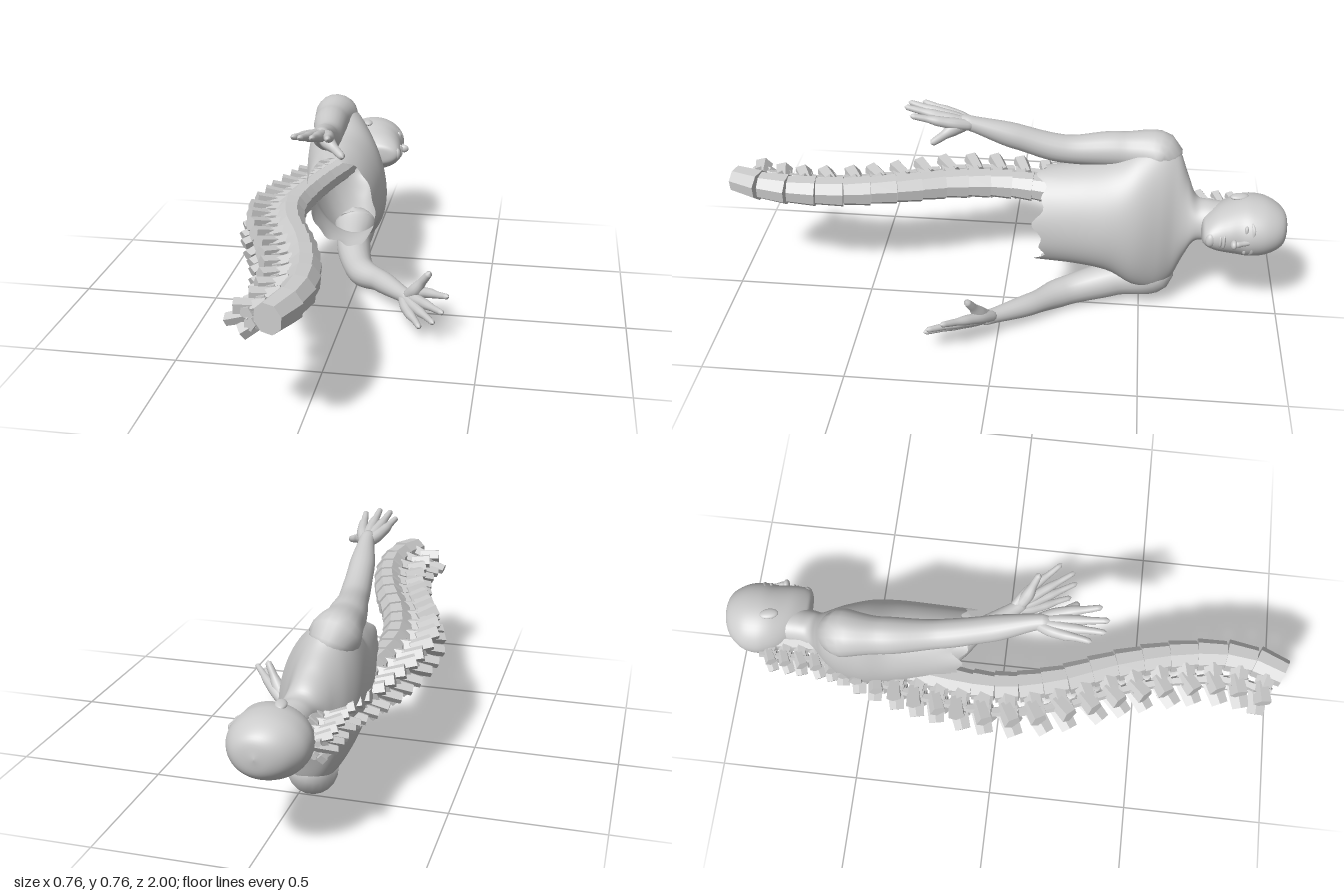
import * as THREE from 'three';
import { mergeVertices, mergeGeometries } from 'three/addons/utils/BufferGeometryUtils.js';

const skin = new THREE.MeshStandardMaterial({ color: 0xcccccc, side: THREE.DoubleSide });
const bone = new THREE.MeshStandardMaterial({ color: 0xcccccc, flatShading: true });
const V = (a) => new THREE.Vector3(a[0], a[1], a[2]);

function mesh(name, geometry, material = skin) {
  const m = new THREE.Mesh(geometry, material);
  m.name = name;
  return m;
}

function smooth(geometry) {
  geometry.deleteAttribute('normal');
  geometry.deleteAttribute('uv');
  const g = mergeVertices(geometry, 1e-5);
  g.computeVertexNormals();
  return g;
}

// Smooth skin through oval sections [z, cx, cy, rx, ry], lengthwise along z
function loft(rows, bend = () => {}, steps = 48, sides = 48) {
  const centres = new THREE.CatmullRomCurve3(rows.map((r) => new THREE.Vector3(r[1], r[2], r[0])));
  const radii = new THREE.CatmullRomCurve3(rows.map((r) => new THREE.Vector3(r[3], r[4], 0)));
  centres.curveType = radii.curveType = 'catmullrom';
  const pos = [], index = [];
  for (let i = 0; i <= steps; i++) {
    const c = centres.getPoint(i / steps), r = radii.getPoint(i / steps);
    for (let j = 0; j < sides; j++) {
      const a = (j / sides) * Math.PI * 2;
      const p = new THREE.Vector3(c.x + r.x * Math.cos(a), c.y + r.y * Math.sin(a), c.z);
      bend(p, a, i / steps, c);
      pos.push(p.x, p.y, p.z);
      if (i === steps) continue;
      const k = i * sides + j, l = i * sides + ((j + 1) % sides);
      index.push(k, l, k + sides, l, l + sides, k + sides);
    }
  }
  const g = new THREE.BufferGeometry();
  g.setAttribute('position', new THREE.Float32BufferAttribute(pos, 3));
  g.setIndex(index);
  g.computeVertexNormals();
  return g;
}

// Tube of changing radius through points [x, y, z, radius], with round ends
function limb(pts, steps = 48, sides = 20) {
  const curve = new THREE.CatmullRomCurve3(pts.map(V));
  const g = new THREE.TubeGeometry(curve, steps, 1, sides);
  const p = g.attributes.position, v = new THREE.Vector3(), len = curve.getLength();
  for (let i = 0; i <= steps; i++) {
    const u = i / steps, c = curve.getPointAt(u);
    const t = curve.getUtoTmapping(u) * (pts.length - 1);
    const k = Math.min(Math.floor(t), pts.length - 2);
    let r = THREE.MathUtils.lerp(pts[k][3], pts[k + 1][3], THREE.MathUtils.smoothstep(t - k, 0, 1));
    const d = Math.min(u, 1 - u) * len;
    if (d < r) r = Math.sqrt(Math.max(r * r - (r - d) ** 2, 1e-8));
    for (let j = 0; j <= sides; j++) {
      const n = i * (sides + 1) + j;
      v.fromBufferAttribute(p, n).sub(c).multiplyScalar(r).add(c);
      p.setXYZ(n, v.x, v.y, v.z);
    }
  }
  return smooth(g);
}

// Four fingers running back side by side through the palm, plus a thumb
function hand(name, wrist, tips, thumb) {
  const w = V(wrist), mean = new THREE.Vector3();
  tips.forEach((t) => mean.addScaledVector(V(t), 0.25));
  const at = (tip, f, spread, r) => {
    const p = w.clone().lerp(tip, f).addScaledVector(tip.clone().sub(mean), spread);
    return [p.x, p.y, p.z, r];
  };
  const parts = tips.map((t) => {
    const tip = V(t);
    return limb([at(tip, -0.1, 0.15, 0.02), at(tip, 0.2, 0.24, 0.021), at(tip, 0.48, 0.2, 0.018),
      at(tip, 0.75, 0.08, 0.012), at(tip, 1, 0, 0.0095)], 24, 12);
  });
  const th = V(thumb);
  parts.push(limb([at(th, 0, 0, 0.023), at(th, 0.35, -0.05, 0.025), at(th, 0.7, -0.02, 0.015), at(th, 1, 0, 0.012)], 20, 12));
  return mesh(name, mergeGeometries(parts));
}

function blob(name, x, y, z, sx, sy, sz) {
  const m = mesh(name, new THREE.SphereGeometry(1, 20, 14));
  m.position.set(x, y, z);
  m.scale.set(sx, sy, sz);
  return m;
}

// Head with its crown towards -z and its face towards +x
function makeHead() {
  const head = new THREE.Group();
  head.name = 'head';
  const rows = [[-1, -0.03, -0.03, 0.002], [-0.99, -0.082, 0.027, 0.05], [-0.965, -0.125, 0.06, 0.077],
    [-0.92, -0.158, 0.084, 0.098], [-0.87, -0.166, 0.092, 0.104], [-0.83, -0.158, 0.088, 0.1],
    [-0.79, -0.14, 0.092, 0.088], [-0.75, -0.11, 0.094, 0.072], [-0.718, -0.08, 0.09, 0.05],
    [-0.702, -0.045, 0.068, 0.032], [-0.698, 0.01, 0.012, 0.002]];
  head.add(mesh('skull', loft(rows.map(([z, b, f, w]) => [z, (b + f) / 2, 0.365, (f - b) / 2, w]))));
  head.add(blob('noseTip', 0.1, 0.365, -0.807, 0.019, 0.016, 0.012));
  head.add(mesh('noseBridge', limb([[0.08, 0.365, -0.87, 0.009], [0.09, 0.365, -0.84, 0.01], [0.102, 0.365, -0.808, 0.013]], 14, 10)));
  head.add(blob('upperLip', 0.088, 0.365, -0.773, 0.011, 0.027, 0.007));
  head.add(blob('lowerLip', 0.087, 0.365, -0.761, 0.011, 0.023, 0.007));
  head.add(blob('chin', 0.08, 0.365, -0.727, 0.017, 0.026, 0.018));
  for (const s of [-1, 1]) {
    const y = (d) => 0.365 + s * d;
    head.add(blob('eye', 0.071, y(0.04), -0.848, 0.012, 0.018, 0.008));
    head.add(mesh('brow', limb([[0.083, y(0.012), -0.868, 0.007], [0.076, y(0.042), -0.873, 0.008], [0.056, y(0.066), -0.865, 0.006]], 14, 8)));
    const ear = blob('ear', -0.055, y(0.1), -0.825, 0.019, 0.01, 0.033);
    ear.rotation.y = 0.25;
    head.add(ear);
  }
  return head;
}

// One vertebra: local x points to the back, y along the spine, z sideways; wide is the reach of its wings
function vertebra(height, s, wide, i) {
  const g = new THREE.Group();
  g.name = 'vertebra';
  g.add(mesh('vertebralBody', new THREE.CylinderGeometry(0.053 * s, 0.06 * s, height, 8), bone));
  const spur = (name, from, to, r0, r1, flat) => {
    const a = V(from).multiplyScalar(s), b = V(to).multiplyScalar(s), d = b.clone().sub(a);
    const m = mesh(name, new THREE.CylinderGeometry(r1 * s, r0 * s, d.length(), 5), bone);
    m.position.copy(a).lerp(b, 0.5);
    m.quaternion.setFromUnitVectors(new THREE.Vector3(0, 1, 0), d.normalize());
    m.scale.z = flat;
    g.add(m);
  };
  const wob = 0.008 * Math.sin(i * 2.4);
  spur('spinousProcess', [0.07, -0.012, 0], [0.182, 0.03 + wob, 0], 0.04, 0.032, 0.65);
  for (const side of [-1, 1]) {
    spur('pedicle', [0.03, 0, side * 0.02], [0.088, 0.005, side * wide * 0.5], 0.036, 0.032, 0.8);
    spur('lamina', [0.085, 0, side * wide * 0.65], [0.11, 0.015, side * 0.004], 0.036, 0.036, 0.7);
    spur('transverseProcess', [0.068, -0.01, side * wide * 0.45], [0.135, 0.022 - wob, side * wide], 0.03, 0.035, 0.8);
    spur('articularProcess', [0.088, 0.04, side * wide * 0.45], [0.094, -0.056, side * wide * 0.5], 0.024, 0.018, 0.9);
  }
  return g;
}

function makeSpine() {
  const spine = new THREE.Group();
  spine.name = 'spine';
  const curve = new THREE.CatmullRomCurve3([[-0.112, 0.362, -0.85], [-0.105, 0.36, -0.7], [-0.106, 0.357, -0.57],
    [-0.155, 0.358, -0.38], [-0.192, 0.365, -0.17], [-0.2, 0.375, 0.02], [-0.163, 0.387, 0.2], [-0.088, 0.4, 0.4],
    [-0.033, 0.41, 0.6], [-0.014, 0.42, 0.78], [-0.03, 0.424, 0.9], [-0.06, 0.424, 0.985]].map(V));
  const count = 24, gaps = Array.from({ length: count }, (_, i) => 0.048 + (0.052 * i) / count);
  const total = gaps.reduce((a, b) => a + b, 0), len = curve.getLength();
  let run = 0;
  gaps.forEach((gap, i) => {
    const u = (run + gap / 2) / total;
    run += gap;
    const along = curve.getTangentAt(u);
    const back = new THREE.Vector3(-1, -0.3, 0);
    back.addScaledVector(along, -back.dot(along)).normalize();
    const side = new THREE.Vector3().crossVectors(back, along);
    const size = THREE.MathUtils.lerp(0.62, 0.94, Math.min(1, i / 13));
    const wide = THREE.MathUtils.lerp(0.07, 0.042, THREE.MathUtils.smoothstep(i, 14, 21));
    const v = vertebra((gap / total) * len, size, wide, i);
    v.quaternion.setFromRotationMatrix(new THREE.Matrix4().makeBasis(back, along, side));
    v.position.copy(curve.getPointAt(u));
    spine.add(v);
  });
  return spine;
}

export function createModel() {
  const model = new THREE.Group();
  model.name = 'figureWithSpine';

  // Open shell of neck, shoulders and chest, slightly turned, with a torn lower hem
  const torsoRows = [[-0.79, -0.045, 0.365, 0.07, 0.066], [-0.73, -0.05, 0.365, 0.068, 0.07],
    [-0.68, -0.058, 0.364, 0.067, 0.08], [-0.645, -0.075, 0.36, 0.077, 0.155], [-0.605, -0.09, 0.354, 0.1, 0.25],
    [-0.55, -0.09, 0.35, 0.128, 0.285], [-0.47, -0.08, 0.35, 0.15, 0.262], [-0.38, -0.07, 0.356, 0.151, 0.208],
    [-0.27, -0.06, 0.36, 0.14, 0.185], [-0.14, -0.05, 0.36, 0.127, 0.17]];
  model.add(mesh('torso', loft(torsoRows, (p, a, t, c) => {
    p.x -= (p.y - c.y) * 0.14;
    const hem = Math.max(0, (t - 0.88) / 0.12) ** 2;
    p.z += hem * (0.014 * Math.sin(a * 5 + 1) + 0.012 * Math.sin(a * 11) + 0.01 * Math.cos(a));
  }, 60, 72)));

  model.add(makeHead());

  // Arms growing out of the shoulders, bent at the elbow
  model.add(mesh('leftArm', limb([[-0.115, 0.515, -0.56, 0.06], [-0.132, 0.57, -0.545, 0.085], [-0.132, 0.588, -0.4, 0.064],
    [-0.106, 0.594, -0.2, 0.05], [-0.088, 0.643, -0.04, 0.045], [-0.065, 0.702, 0.13, 0.027], [-0.065, 0.71, 0.17, 0.022]])));
  model.add(mesh('rightArm', limb([[-0.075, 0.185, -0.56, 0.06], [-0.062, 0.127, -0.545, 0.085], [-0.045, 0.088, -0.4, 0.066],
    [0.015, 0.056, -0.22, 0.054], [0.105, 0.064, -0.12, 0.041], [0.22, 0.078, 0.03, 0.027], [0.245, 0.083, 0.06, 0.024]])));
  model.add(hand('leftHand', [-0.065, 0.7, 0.13],
    [[-0.132, 0.742, 0.3], [-0.1, 0.754, 0.345], [-0.058, 0.757, 0.352], [-0.01, 0.748, 0.325]], [0.028, 0.663, 0.25]));
  model.add(hand('rightHand', [0.22, 0.078, 0.03],
    [[0.383, 0.158, 0.18], [0.37, 0.12, 0.235], [0.34, 0.085, 0.248], [0.29, 0.056, 0.23]], [0.31, 0.21, 0.1]));

  model.add(makeSpine());
  return model;
}
